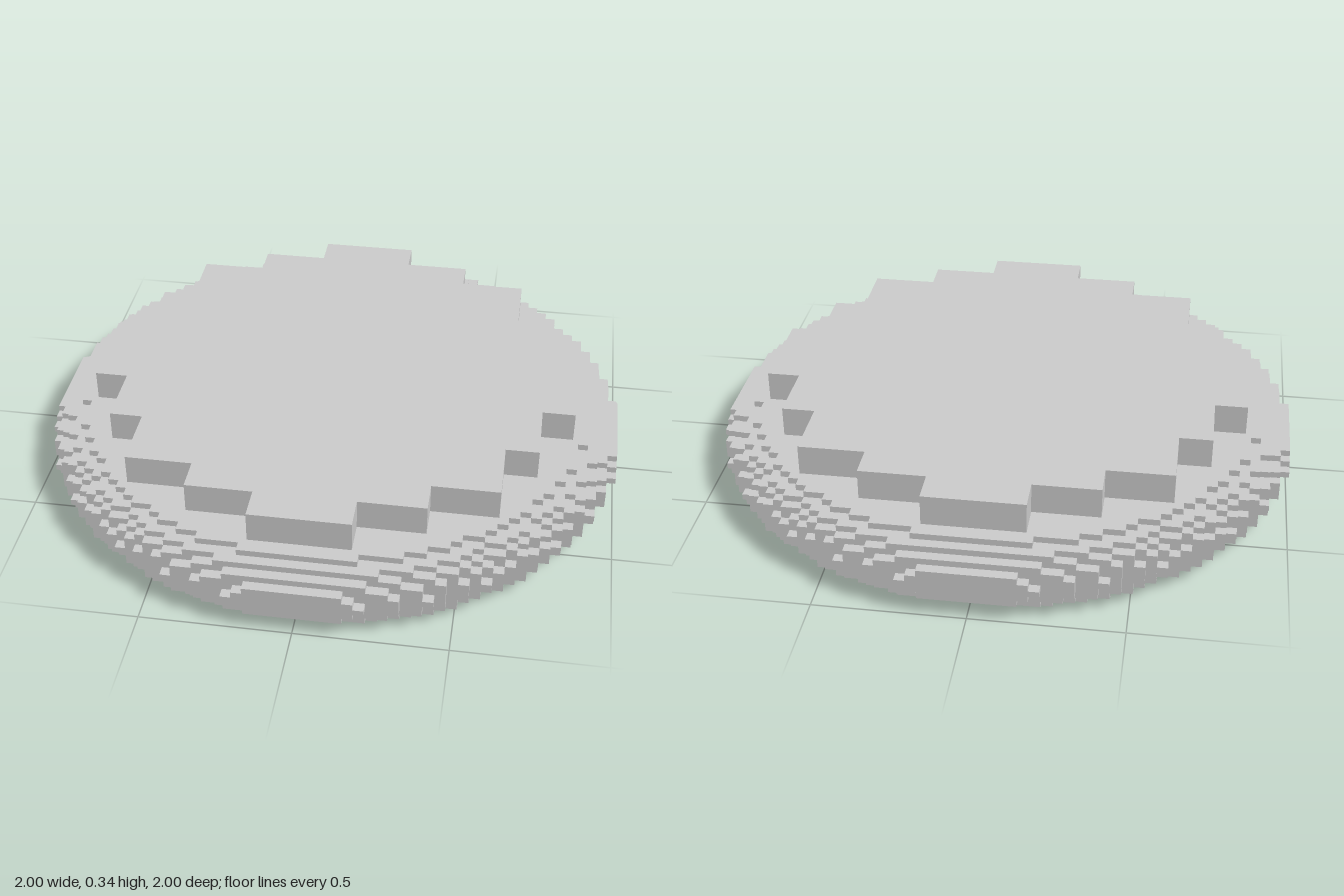
import * as THREE from 'three';

const CELL = 2 / 57;          // block width of the ring
const LAYER = 0.235 / 11;     // block height of the ring
const RING_R = 23;            // tube centre radius, in blocks
const TUBE_SQ = 31.95;        // tube radius squared, in blocks

// Stepped outline of all blocks whose centre lies within the radius (in blocks)
function steppedCircle(radius, cell) {
  const n = Math.floor(radius);
  const right = [];
  for (let z = -n; z <= n; z++) {
    const w = Math.floor(Math.sqrt(radius * radius - z * z)) + 0.5;
    right.push(new THREE.Vector2(w * cell, (z - 0.5) * cell));
    right.push(new THREE.Vector2(w * cell, (z + 0.5) * cell));
  }
  // Drop the points between rows of equal width
  const side = right.filter((p, i) => {
    const a = right[i - 1], b = right[i + 1];
    return !(a && b && a.x === p.x && b.x === p.x);
  });
  const left = side.map((p) => new THREE.Vector2(-p.x, p.y)).reverse();
  return [...side, ...left];
}

// Flat slab with a stepped outline, lying from y to y + height
function slab(name, outer, hole, y, height, material) {
  const shape = new THREE.Shape(outer);
  if (hole) shape.holes.push(new THREE.Path(hole));
  const geometry = new THREE.ExtrudeGeometry(shape, { depth: height, bevelEnabled: false });
  geometry.rotateX(-Math.PI / 2);
  geometry.translate(0, y, 0);
  const mesh = new THREE.Mesh(geometry, material);
  mesh.name = name;
  return mesh;
}

export function createModel() {
  const model = new THREE.Group();
  model.name = 'blockyCushion';
  const material = new THREE.MeshStandardMaterial({ color: 0xcccccc, flatShading: true });

  // Ring: a blocky torus built in eleven layers
  const ring = new THREE.Group();
  ring.name = 'ring';
  for (let j = -5; j <= 5; j++) {
    const half = Math.sqrt(TUBE_SQ - j * j);
    ring.add(slab(
      'ringLayer',
      steppedCircle(RING_R + half, CELL),
      steppedCircle(RING_R - half, CELL),
      (j + 5) * LAYER, LAYER, material,
    ));
  }
  model.add(ring);

  // Disc: coarser blocks, sunk into the ring and closing its hole
  const discCell = 0.1123;
  model.add(slab('disc', steppedCircle(Math.sqrt(51), discCell), null, 0.07, 0.27, material));

  return model;
}
